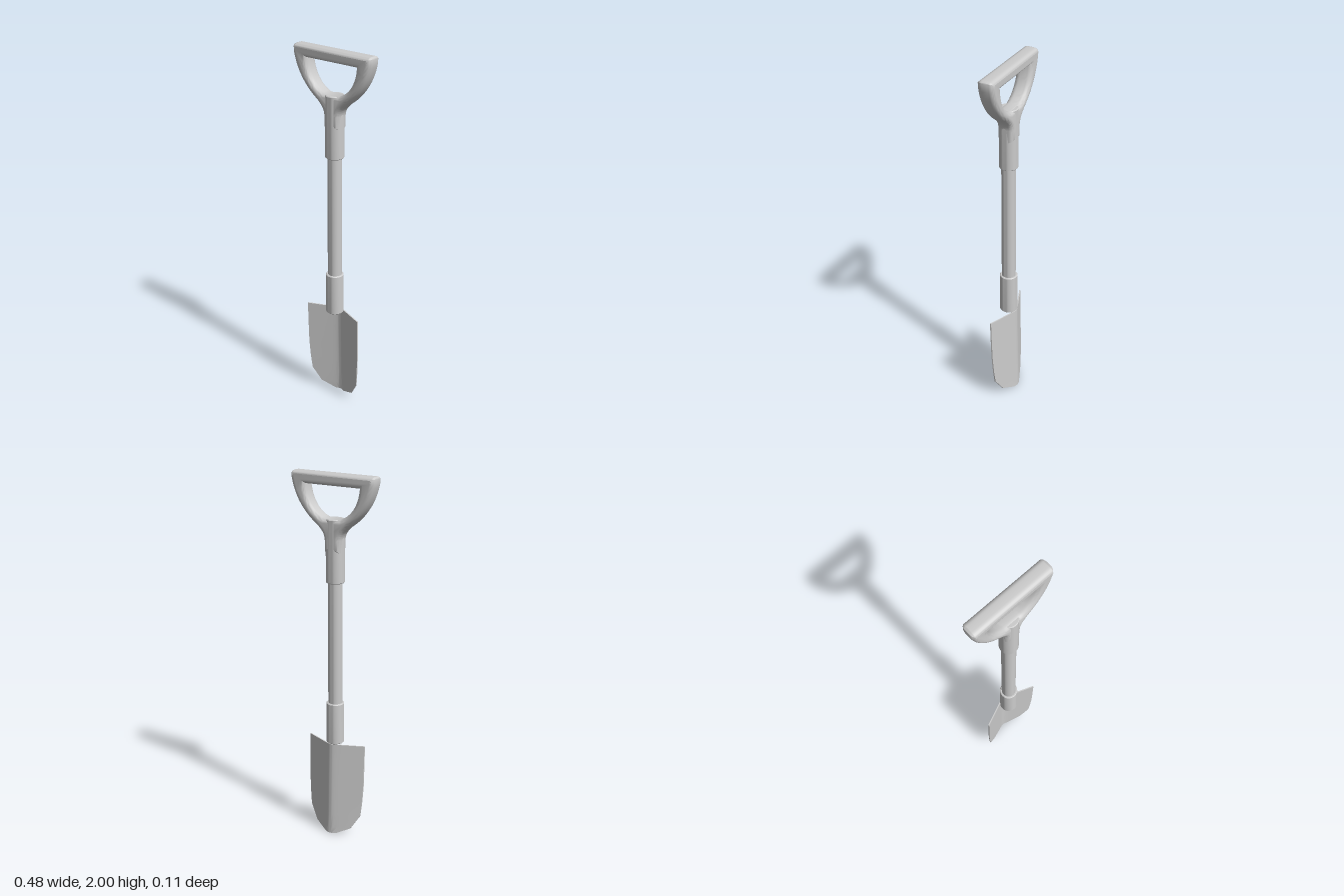
import * as THREE from 'three';
import { toCreasedNormals } from 'three/addons/utils/BufferGeometryUtils.js';

const material = new THREE.MeshStandardMaterial({ color: 0xcccccc });
const AXIS_Z = 0.005; // shaft axis sits slightly forward of the blade

function part(name, geometry, crease = 0.6) {
  const mesh = new THREE.Mesh(toCreasedNormals(geometry, crease), material);
  mesh.name = name;
  return mesh;
}

// Closed upright tube with softly chamfered ends
function rod(name, radius, y0, y1, chamfer = 0.004) {
  const profile = [
    [0, y0], [radius - chamfer, y0], [radius, y0 + chamfer],
    [radius, y1 - chamfer], [radius - chamfer, y1], [0, y1],
  ].map(([x, y]) => new THREE.Vector2(x, y));
  const mesh = part(name, new THREE.LatheGeometry(profile, 32));
  mesh.position.z = AXIS_Z;
  return mesh;
}

// D-shaped grip: outer outline with a D hole, rounded by the bevel
function createGrip() {
  const shape = new THREE.Shape();
  shape.moveTo(-0.045, 1.6);
  shape.lineTo(0.045, 1.6);
  shape.lineTo(0.047, 1.66);
  shape.bezierCurveTo(0.048, 1.7, 0.07, 1.715, 0.09, 1.735);
  shape.bezierCurveTo(0.17, 1.79, 0.225, 1.87, 0.242, 1.965);
  shape.lineTo(0.242, 1.985);
  shape.quadraticCurveTo(0.242, 2, 0.227, 2);
  shape.lineTo(-0.227, 2);
  shape.quadraticCurveTo(-0.242, 2, -0.242, 1.985);
  shape.lineTo(-0.242, 1.965);
  shape.bezierCurveTo(-0.225, 1.87, -0.17, 1.79, -0.09, 1.735);
  shape.bezierCurveTo(-0.07, 1.715, -0.048, 1.7, -0.047, 1.66);
  shape.closePath();

  const hole = new THREE.Path();
  hole.moveTo(-0.155, 1.938);
  hole.lineTo(0.155, 1.938);
  hole.bezierCurveTo(0.148, 1.86, 0.11, 1.8, 0.045, 1.775);
  hole.lineTo(-0.045, 1.775);
  hole.bezierCurveTo(-0.11, 1.8, -0.148, 1.86, -0.155, 1.938);
  shape.holes.push(hole);

  const bevel = 0.03;
  const depth = 0.088 - 2 * bevel;
  const geometry = new THREE.ExtrudeGeometry(shape, {
    depth, curveSegments: 16, bevelEnabled: true, bevelSegments: 6,
    bevelThickness: bevel, bevelSize: 0.024, bevelOffset: -0.024,
  });
  geometry.translate(0, 0, -depth / 2 + 0.003);
  return part('grip', geometry, 0.8);
}

// Dished blade: a thin box bent along a rounded centre fold
function createBlade() {
  // height, half width and back depth of the fold, from the tip up
  const rows = [
    [0.003, 0.03, -0.055], [0.04, 0.108, -0.054], [0.12, 0.157, -0.052],
    [0.2, 0.165, -0.05], [0.3, 0.171, -0.048], [0.42, 0.172, -0.045], [0.543, 0.173, -0.043],
  ];
  const thickness = 0.007;
  const geometry = new THREE.BoxGeometry(2, 1, 1, 24, rows.length - 1, 1);
  const pos = geometry.attributes.position;
  for (let i = 0; i < pos.count; i++) {
    const [y, width, foldZ] = rows[Math.round((pos.getY(i) + 0.5) * (rows.length - 1))];
    const u = pos.getX(i);
    const x = Math.sign(u) * Math.abs(u) ** 1.5 * width;
    const lift = 0.41 * (Math.hypot(x, 0.014) - 0.014);
    pos.setXYZ(i, x, y, foldZ + lift + (pos.getZ(i) + 0.5) * thickness);
  }
  return part('blade', geometry);
}

export function createModel() {
  const model = new THREE.Group();
  model.name = 'spade';
  model.add(
    createGrip(),
    rod('gripSleeve', 0.049, 1.44, 1.772),
    rod('shaft', 0.038, 0.56, 1.5),
    rod('bladeSocket', 0.048, 0.543, 0.775),
    createBlade(),
  );
  return model;
}
